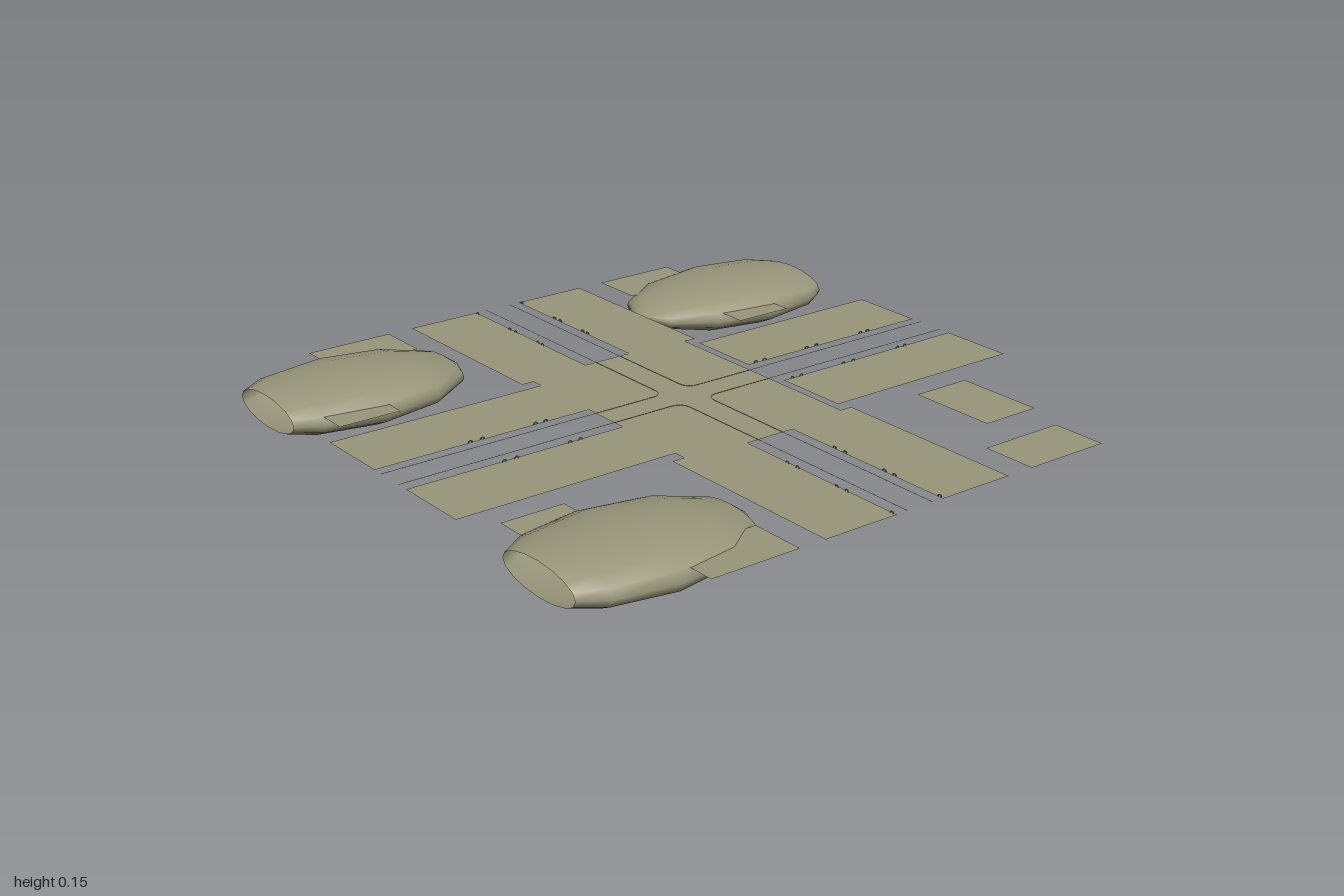
import * as THREE from 'three';

const GROUND = 0.107;

export function createModel() {
  const model = new THREE.Group();
  model.name = 'crossroads';
  const material = new THREE.MeshStandardMaterial({ color: 0x98967a, side: THREE.DoubleSide });

  const add = (name, geometry, parent = model) => {
    const mesh = new THREE.Mesh(geometry, material);
    mesh.name = name;
    parent.add(mesh);
    return mesh;
  };

  // Flat rectangle on the ground plane
  const slab = (name, x0, x1, z0, z1) => {
    const g = new THREE.PlaneGeometry(x1 - x0, z1 - z0).rotateX(-Math.PI / 2);
    g.translate((x0 + x1) / 2, GROUND, (z0 + z1) / 2);
    return add(name, g);
  };

  // Central crossing, with side tabs reaching between the pavements
  const outline = [
    [-0.37, -0.29], [0.365, -0.29], [0.365, -0.085], [0.39, -0.085], [0.39, 0.08], [0.365, 0.08],
    [0.365, 0.285], [-0.37, 0.285], [-0.37, 0.08], [-0.39, 0.08], [-0.39, -0.085], [-0.37, -0.085],
  ].map(([x, z]) => new THREE.Vector2(x, -z));
  add('crossing', new THREE.ShapeGeometry(new THREE.Shape(outline)).rotateX(-Math.PI / 2).translate(0, GROUND, 0));

  // Pavements along the four road arms
  for (const [a, b] of [[-0.33, -0.085], [0.08, 0.325]]) {
    slab('backPavement', a, b, -1, -0.315);
    slab('frontPavement', a, b, 0.285, 1);
    slab('rightPavement', -1, -0.37, a, b);
    slab('leftPavement', 0.365, 1, a, b);
  }

  // Small plots in the corners
  for (const s of [-1, 1]) {
    const plot = (name, a, b, z0, z1) => slab(name, Math.min(s * a, s * b), Math.max(s * a, s * b), z0, z1);
    plot('backOuterPlot', 0.825, 1, -0.7, -0.42);
    plot('backInnerPlot', 0.412, 0.7, -0.745, -0.55);
    plot('frontOuterPlot', 0.825, 1, 0.41, 0.695);
    plot('frontInnerPlot', 0.412, 0.7, 0.72, 0.92);
  }

  // Flattened mounds: faceted ellipsoids cut open at the model's edge
  const profile = [0, 30, 60, 90, 120].map((deg) => {
    const t = THREE.MathUtils.degToRad(deg);
    return new THREE.Vector2(0.24 * Math.sin(t), 0.345 + 0.385 * (1 - Math.cos(t)));
  });
  profile.push(new THREE.Vector2(0.159, 1));
  const mound = new THREE.LatheGeometry(profile, 16).rotateX(Math.PI / 2).scale(1, 0.315, 1);
  for (const [name, x, turn] of [
    ['frontRightMound', -0.7, 0], ['frontLeftMound', 0.7, 0], ['backRightMound', -0.7, Math.PI],
  ]) {
    const m = add(name, mound);
    m.position.set(x, 0.083, 0);
    m.rotation.y = turn;
  }

  // Hairline kerbs, one rounded corner per quadrant
  for (const x of [-0.048, 0.042]) {
    for (const z of [-0.048, 0.042]) {
      const sx = Math.sign(x), sz = Math.sign(z), r = 0.04;
      const p = (px, pz) => new THREE.Vector3(px, GROUND + 0.001, pz);
      const path = new THREE.CurvePath();
      path.add(new THREE.LineCurve3(p(sx, z), p(x + sx * r, z)));
      path.add(new THREE.QuadraticBezierCurve3(p(x + sx * r, z), p(x, z), p(x, z + sz * r)));
      path.add(new THREE.LineCurve3(p(x, z + sz * r), p(x, sz)));
      add('kerb', new THREE.TubeGeometry(path, 120, 0.0008, 4));
    }
  }

  // Tiny arched hoops lining the pavement edges
  const hoop = new THREE.TorusGeometry(0.006, 0.002, 4, 6, Math.PI);
  const hoops = new THREE.Group();
  hoops.name = 'kerbHoops';
  model.add(hoops);
  for (const side of [-0.088, 0.084]) {
    for (const z of [-0.805, -0.775, -0.59, -0.55, -0.38, -0.345, 0.435, 0.47, 0.65, 0.69]) {
      const h = add('hoop', hoop, hoops);
      h.position.set(side, GROUND, z);
      h.rotation.y = Math.PI / 2;
    }
    for (const x of [-0.985, -0.797, -0.765, -0.64, -0.615, 0.567, 0.61, 0.77, 0.81, 0.985]) {
      add('hoop', hoop, hoops).position.set(x, GROUND, side);
    }
  }
  return model;
}
